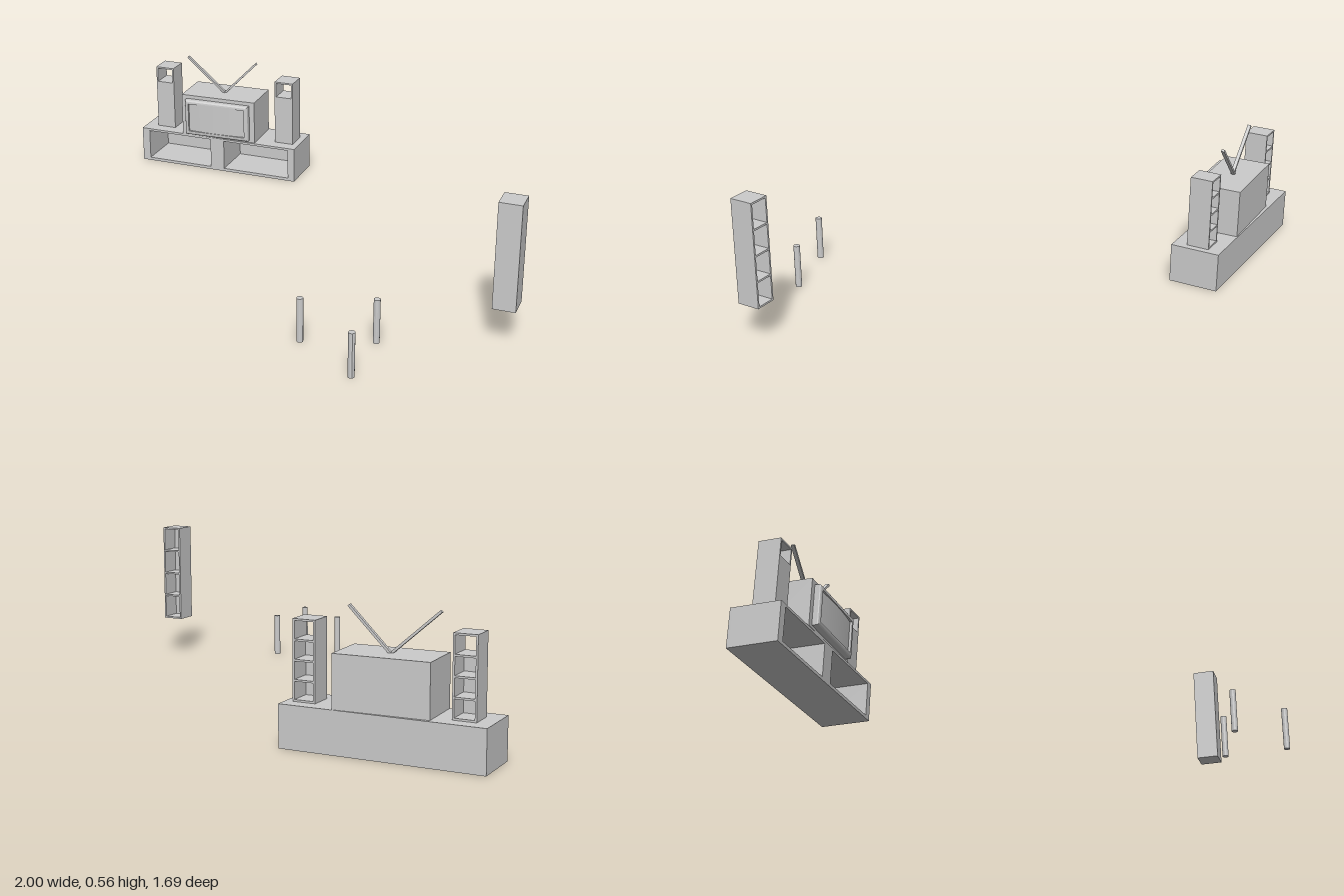
import * as THREE from 'three';

const mat = new THREE.MeshStandardMaterial({ color: 0xcccccc, flatShading: true });
const smooth = new THREE.MeshStandardMaterial({ color: 0xcccccc, side: THREE.DoubleSide });

function add(parent, name, geometry, x = 0, y = 0, z = 0, material = mat) {
  const mesh = new THREE.Mesh(geometry, material);
  mesh.name = name;
  mesh.position.set(x, y, z);
  parent.add(mesh);
  return mesh;
}

// Rectangle outline, usable as a shape or as a hole
function rect(Type, x0, y0, x1, y1) {
  const p = new Type();
  p.moveTo(x0, y0);
  p.lineTo(x1, y0);
  p.lineTo(x1, y1);
  p.lineTo(x0, y1);
  p.closePath();
  return p;
}

// Board of given depth pierced by rectangular holes [x0, y0, x1, y1]
function pierced(x0, y0, x1, y1, depth, holes) {
  const shape = rect(THREE.Shape, x0, y0, x1, y1);
  holes.forEach(h => shape.holes.push(rect(THREE.Path, ...h)));
  return new THREE.ExtrudeGeometry(shape, { depth, bevelEnabled: false });
}

// Tower with four cells open at the back; the top one may also open to the front
function tower(name, x, y, z, height, openTop) {
  const g = new THREE.Group();
  g.name = name;
  g.position.set(x, y, z);
  const half = 0.0425, deep = 0.09, wall = 0.007, front = 0.008;
  const pitch = (height - wall) / 4;
  const cells = [0, 1, 2, 3].map(i =>
    [-half + wall, wall + i * pitch, half - wall, (i + 1) * pitch]);
  const shelves = pierced(-half, 0, half, height, deep - front, cells);
  add(g, 'shelfCells', shelves, 0, 0, -deep / 2);
  const panel = pierced(-half, 0, half, height, front, openTop ? [cells[3]] : []);
  add(g, 'frontPanel', panel, 0, 0, deep / 2 - front);
  return g;
}

function cabinet() {
  const g = new THREE.Group();
  g.name = 'cabinet';
  const back = 0.01, depth = 0.197;
  const openings = [[-0.965, 0.013, -0.66, 0.145], [-0.595, 0.013, -0.285, 0.145]];
  add(g, 'cabinetFrame', pierced(-1, 0, -0.255, 0.155, depth - back, openings), 0, 0, -0.845 + back);
  add(g, 'cabinetBack', new THREE.BoxGeometry(0.745, 0.155, back), -0.6275, 0.0775, -0.845 + back / 2);
  return g;
}

function television() {
  const g = new THREE.Group();
  g.name = 'television';
  g.position.set(-0.624, 0.155, -0.744);
  g.rotation.y = 0.03;
  add(g, 'televisionBody', new THREE.BoxGeometry(0.347, 0.19, 0.185), 0, 0.095, 0);

  // Bezel with rounded-off front rim
  const w = 0.138, b = 0.023, t = 0.162;
  const shape = rect(THREE.Shape, -w, b, w, t);
  shape.holes.push(rect(THREE.Path, -w + 0.005, b + 0.005, w - 0.005, t - 0.005));
  const bezel = new THREE.ExtrudeGeometry(shape, {
    depth: 0.02, bevelThickness: 0.007, bevelSize: 0.012, bevelOffset: 0, bevelSegments: 3,
  });
  // Keep the opening straight while the outside edge stays bevelled
  const pos = bezel.attributes.position;
  for (let i = 0; i < pos.count; i++) {
    const x = pos.getX(i), y = pos.getY(i);
    if (Math.abs(x) < w - 0.001 && y > b + 0.001 && y < t - 0.001) {
      pos.setXY(i, Math.sign(x) * (w - 0.005), y > 0.0925 ? t - 0.005 : b + 0.005);
    }
  }
  bezel.computeVertexNormals();
  add(g, 'screenBezel', bezel, 0, 0, 0.092);

  // Gently bulging screen
  const screen = new THREE.PlaneGeometry(2 * w - 0.01, t - b - 0.01, 16, 6);
  const sp = screen.attributes.position;
  for (let i = 0; i < sp.count; i++) {
    sp.setZ(i, 0.008 * (1 - (sp.getX(i) / w) ** 2));
  }
  screen.computeVertexNormals();
  add(g, 'screen', screen, 0, (b + t) / 2, 0.108, smooth);

  // Two-arm aerial
  [[-0.174, 0.003], [0.15, -0.003]].forEach(([tipX, z], i) => {
    const rise = 0.152;
    const arm = add(g, i ? 'leftAerial' : 'rightAerial',
      new THREE.BoxGeometry(0.009, Math.hypot(tipX, rise), 0.014), tipX / 2, 0.188 + rise / 2, z);
    arm.rotation.z = -Math.atan2(tipX, rise);
  });
  return g;
}

export function createModel() {
  const model = new THREE.Group();
  model.name = 'livingRoomSet';
  model.add(cabinet(), television());
  model.add(tower('rightSpeaker', -0.9025, 0.155, -0.747, 0.285, true));
  model.add(tower('leftSpeaker', -0.325, 0.155, -0.747, 0.285, true));
  model.add(tower('wallSpeaker', 0.9575, 0.157, 0.431, 0.408, false));

  // Three free-standing legs
  [[0.273, 0.668], [0.53, 0.58], [0.522, 0.832]].forEach(([x, z], i) => {
    add(model, 'leg' + (i + 1), new THREE.CylinderGeometry(0.0125, 0.0125, 0.174, 12), x, 0.087, z);
  });
  return model;
}
